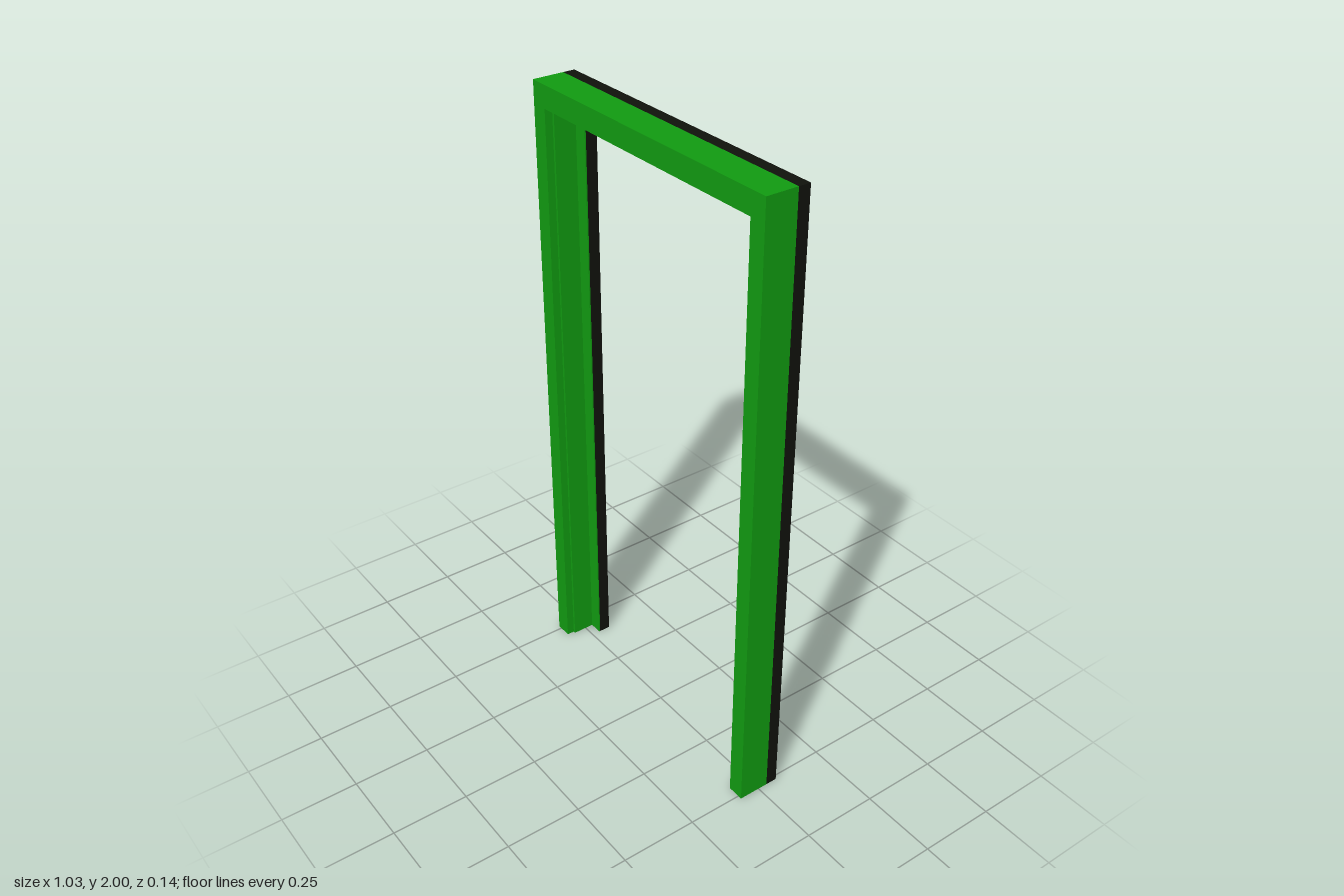
import * as THREE from 'three';

const W = 0.513, H = 2;
const green = new THREE.MeshStandardMaterial({ color: 0x119b11 });
const black = new THREE.MeshStandardMaterial({ color: 0x10120c });

// Upside-down U of two jambs and a lintel, extruded from z0 to z1
function portal(name, innerX, innerY, z0, z1, material, outerX = W, outerY = H) {
  const shape = new THREE.Shape([
    [-outerX, 0], [-innerX, 0], [-innerX, innerY], [innerX, innerY],
    [innerX, 0], [outerX, 0], [outerX, outerY], [-outerX, outerY],
  ].map(([x, y]) => new THREE.Vector2(x, y)));
  const geometry = new THREE.ExtrudeGeometry(shape, { depth: z1 - z0, bevelEnabled: false });
  geometry.translate(0, 0, z0);
  const mesh = new THREE.Mesh(geometry, material);
  mesh.name = name;
  return mesh;
}

export function createModel() {
  const group = new THREE.Group();
  group.name = 'doorFrame';

  // Frame with a shallow front step, then the deeper door rebate
  group.add(portal('frontLip', 0.458, 1.929, 0.045, 0.07, green));
  group.add(portal('jambLining', 0.45, 1.918, -0.028, 0.045, green));
  // Green face of the door stop, with the dark back casing behind it
  group.add(portal('doorStop', 0.405, 1.895, -0.032, -0.028, green));
  group.add(portal('backCasing', 0.405, 1.895, -0.07, -0.032, black));

  // Small hinge plates on the left jamb
  for (const y of [0.1, 1.05, 1.82]) {
    const hinge = new THREE.Mesh(new THREE.BoxGeometry(0.008, 0.07, 0.03), green);
    hinge.position.set(0.448, y, 0);
    hinge.name = 'hingePlate';
    group.add(hinge);
  }
  return group;
}
